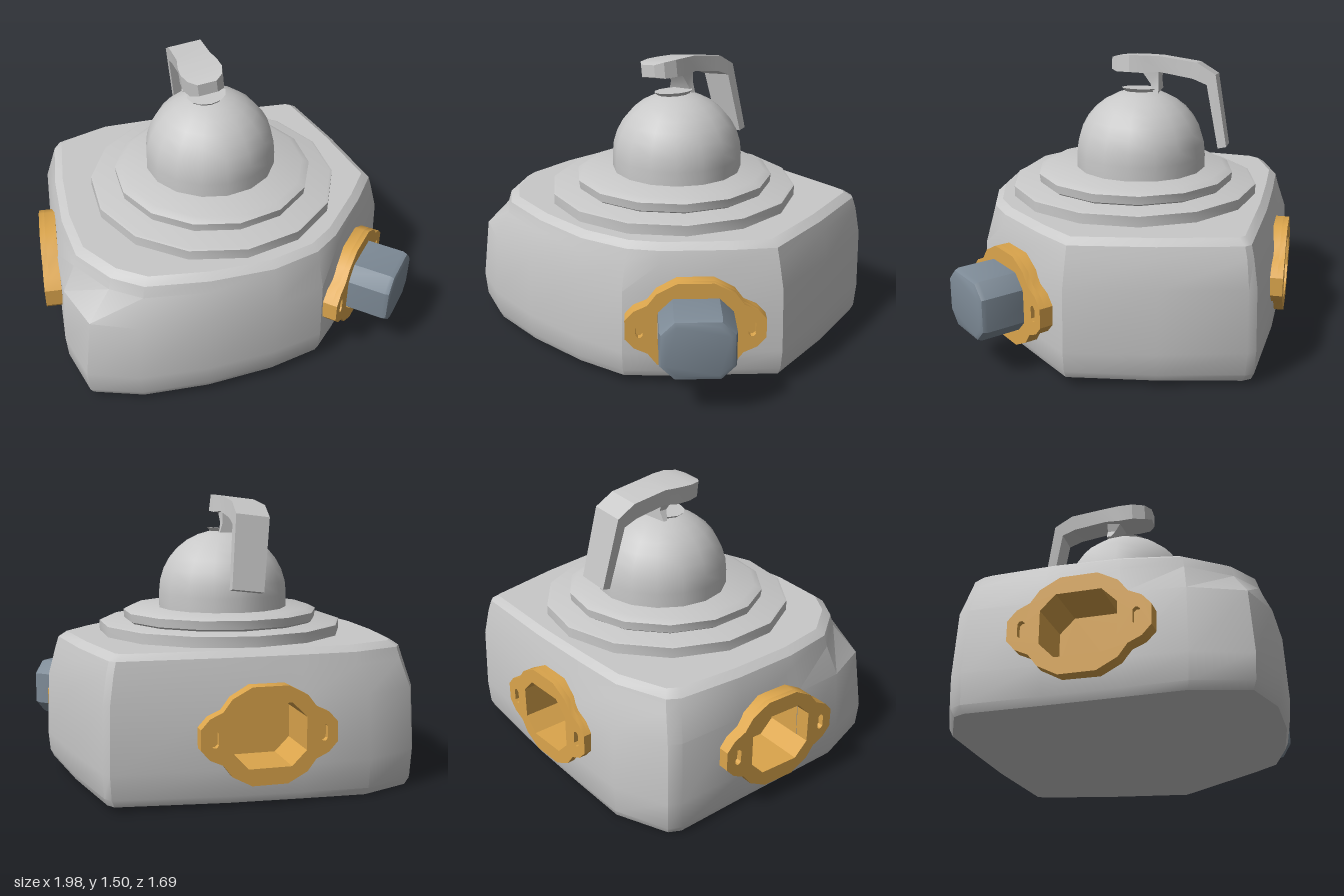
import * as THREE from 'three';
import { toCreasedNormals } from 'three/addons/utils/BufferGeometryUtils.js';

const mat = (name, color) => {
  const m = new THREE.MeshStandardMaterial({ color });
  m.name = name;
  return m;
};

// Closed surface through rings of points; skip(level, column) leaves an opening.
function loft(rings, crease, skip = () => false) {
  const pos = [], n = rings[0].length;
  const tri = (...pts) => pts.forEach(p => pos.push(...p));
  for (let k = 0; k < rings.length - 1; k++) {
    for (let i = 0; i < n; i++) {
      if (skip(k, i)) continue;
      const j = (i + 1) % n, lo = rings[k], hi = rings[k + 1];
      tri(lo[i], lo[j], hi[j]);
      tri(lo[i], hi[j], hi[i]);
    }
  }
  const mid = r => [0, 1, 2].map(a => r.reduce((s, p) => s + p[a], 0) / n);
  const first = rings[0], last = rings[rings.length - 1];
  for (let i = 0; i < n; i++) {
    const j = (i + 1) % n;
    tri(mid(first), first[j], first[i]);
    tri(mid(last), last[i], last[j]);
  }
  const g = new THREE.BufferGeometry();
  g.setAttribute('position', new THREE.Float32BufferAttribute(pos, 3));
  return toCreasedNormals(g, crease);
}

const lathe = (pts, sides) =>
  toCreasedNormals(new THREE.LatheGeometry(pts.map(p => new THREE.Vector2(...p)), sides), 0.5);

// Points of a rectangle with cut corners
const cutRect = (w, h, c, cx = 0) => [
  [w, h - c], [w - c, h], [c - w, h], [-w, h - c],
  [-w, c - h], [c - w, -h], [w - c, -h], [w, c - h],
].map(([x, y]) => new THREE.Vector2(x + cx, y));

function extrude(outline, holes, depth, z, bevel = 0) {
  const s = new THREE.Shape(outline);
  s.holes = holes.map(h => new THREE.Path(h));
  const g = new THREE.ExtrudeGeometry(s, {
    depth, bevelEnabled: bevel > 0, bevelSize: bevel, bevelThickness: bevel,
    bevelOffset: -bevel, bevelSegments: 2,
  });
  return toCreasedNormals(g.translate(0, 0, z), 0.6);
}

export function createModel() {
  const model = new THREE.Group();
  const grey = mat('light grey', 0xc8c8c8);
  const brass = mat('brass', 0xdba54c);
  const slate = mat('slate', 0x7d8a96);
  const add = (parent, name, geo, material, x = 0, y = 0, z = 0) => {
    const m = new THREE.Mesh(geo, material);
    m.name = name;
    m.position.set(x, y, z);
    parent.add(m);
    return m;
  };

  // Body: wide outline (x, z) and shoulder outline (x, z) per column
  const columns = [
    [-0.83, -0.71, -0.77, -0.67], [-0.865, -0.65, -0.81, -0.61],
    [-0.885, -0.265, -0.855, -0.26], [-0.91, 0.115, -0.87, 0.1],
    [-0.93, 0.42, -0.84, 0.4], [-0.86, 0.71, -0.70, 0.62],
    [-0.60, 0.81, -0.55, 0.73], [-0.25, 0.84, -0.22, 0.78],
    [0.12, 0.82, 0.12, 0.78], [0.40, 0.76, 0.38, 0.71],
    [0.53, 0.635, 0.52, 0.61], [0.78, 0.365, 0.76, 0.35],
    [0.95, 0.18, 0.90, 0.17], [0.88, -0.27, 0.84, -0.26],
    [0.78, -0.70, 0.75, -0.68], [0.75, -0.74, 0.72, -0.71],
    [0.18, -0.795, 0.18, -0.75], [-0.20, -0.81, -0.20, -0.76],
    [-0.55, -0.82, -0.50, -0.76],
  ];
  // Each level: height, blend to shoulder, scale, share of the floor's tilt
  const levels = [
    [0.022, 0, 0.97, 1], [0.06, 0, 0.99, 1], [0.185, 0, 1, 0], [0.515, 0.25, 1, 0],
    [0.66, 1, 1, 0], [0.72, 1, 0.98, 0], [0.75, 1, 0.93, 0],
  ];
  const rings = levels.map(([y, f, s, tilt]) => columns.map(([x, z, u, v]) => {
    const px = (x + (u - x) * f) * s, pz = (z + (v - z) * f) * s;
    return [px, y + tilt * (0.018 * px + 0.02 * pz), pz];
  }));
  const portColumns = [2, 10, 16];
  add(model, 'body', loft(rings, 0.5, (k, i) => k === 2 && portColumns.includes(i)), grey);

  // Stepped collars and dome
  add(model, 'lowerCollar', lathe([[0.66, 0.74], [0.668, 0.75], [0.668, 0.805], [0.655, 0.81], [0, 0.81]], 14),
    grey, 0.003, 0, 0.01);
  add(model, 'upperCollar', lathe([[0.5, 0.8], [0.53, 0.82], [0.535, 0.865], [0.495, 0.886], [0, 0.886]], 14),
    grey, 0.005, 0, 0.005);
  const domeProfile = [[0.353, 0.88]];
  for (let i = 0; i <= 8; i++) {
    const a = i / 8 * Math.PI / 2;
    domeProfile.push([0.353 * Math.cos(a), 0.96 + 0.343 * Math.sin(a)]);
  }
  add(model, 'dome', lathe(domeProfile, 16), grey, 0, 0, -0.025);
  add(model, 'domeCap', toCreasedNormals(new THREE.CylinderGeometry(0.105, 0.075, 0.03, 12), 0.5),
    grey, -0.02, 1.292, -0.02).rotation.z = 0.1;

  // Lever: top z, y, underside z, y, half width
  const lever = new THREE.Group();
  lever.name = 'lever';
  model.add(lever);
  const stations = [
    [0.135, 1.465, 0.135, 1.40, 0.05], [0.10, 1.475, 0.10, 1.39, 0.09],
    [0.03, 1.48, 0.03, 1.39, 0.11], [-0.05, 1.48, -0.05, 1.387, 0.105],
    [-0.13, 1.478, -0.13, 1.395, 0.09], [-0.33, 1.45, -0.31, 1.365, 0.09],
    [-0.43, 1.39, -0.385, 1.335, 0.09], [-0.50, 1.01, -0.455, 1.0, 0.085],
  ];
  const leverRings = stations.map(([zt, yt, zb, yb, w]) =>
    [[w, yb - 1.43, zb], [-w, yb - 1.43, zb], [-w, yt - 1.43, zt], [w, yt - 1.43, zt]]);
  add(lever, 'leverArm', loft(leverRings, 0.3), grey, -0.055, 1.43, 0).rotation.z = 0.12;
  const stemRing = (x0, x1, z0, z1, y) => [[x0, y, z0], [x0, y, z1], [x1, y, z1], [x1, y, z0]];
  add(lever, 'leverStem', loft([
    stemRing(-0.13, 0.04, -0.125, -0.10, 1.29),
    stemRing(-0.10, 0.025, -0.125, -0.08, 1.34),
    stemRing(-0.12, 0.025, -0.125, -0.03, 1.41),
  ], 0.3), grey);

  // Ports: eared flange with slots, sleeve and floor
  const quarter = [[0.345, 0.05], [0.30, 0.10], [0.235, 0.13], [0.19, 0.19], [0.09, 0.243]];
  const half = [...quarter, ...quarter.map(([x, y]) => [-x, y]).reverse()];
  const flange = [...half, ...half.map(([x, y]) => [x, -y]).reverse()]
    .map(([x, y]) => new THREE.Vector2(x, y));
  const opening = cutRect(0.185, 0.158, 0.075);
  const slots = [-0.275, 0.275].map(x => cutRect(0.018, 0.042, 0.012, x));
  const flangeFront = extrude(flange, [opening, ...slots], 0.03, -0.03);
  const flangeBack = extrude(flange, [opening], 0.06, -0.09);
  const sleeve = extrude(cutRect(0.2, 0.173, 0.07), [opening], 0.2, -0.28);
  const floor = new THREE.ShapeGeometry(new THREE.Shape(opening)).translate(0, 0, -0.27);

  const ports = [
    ['leftBackPort', -0.965, -0.075, -1.67],
    ['backPort', -0.012, -0.845, Math.PI - 0.014],
    ['frontPort', 0.70, 0.545, 0.82],
  ];
  for (const [name, x, z, turn] of ports) {
    const port = new THREE.Group();
    port.name = name === 'leftBackPort' ? 'rightPort' : name;
    port.position.set(x, 0.35, z);
    port.rotation.y = turn;
    model.add(port);
    add(port, 'flangeFront', flangeFront, brass);
    add(port, 'flangeBack', flangeBack, brass);
    add(port, 'sleeve', sleeve, brass);
    add(port, 'sleeveFloor', floor, brass);
    // Plug seated in the front port
    if (name === 'frontPort') {
      add(port, 'plug', extrude(cutRect(0.183, 0.157, 0.07), [], 0.41, -0.21, 0.03), slate, 0, 0.007, 0);
    }
  }
  return model;
}
